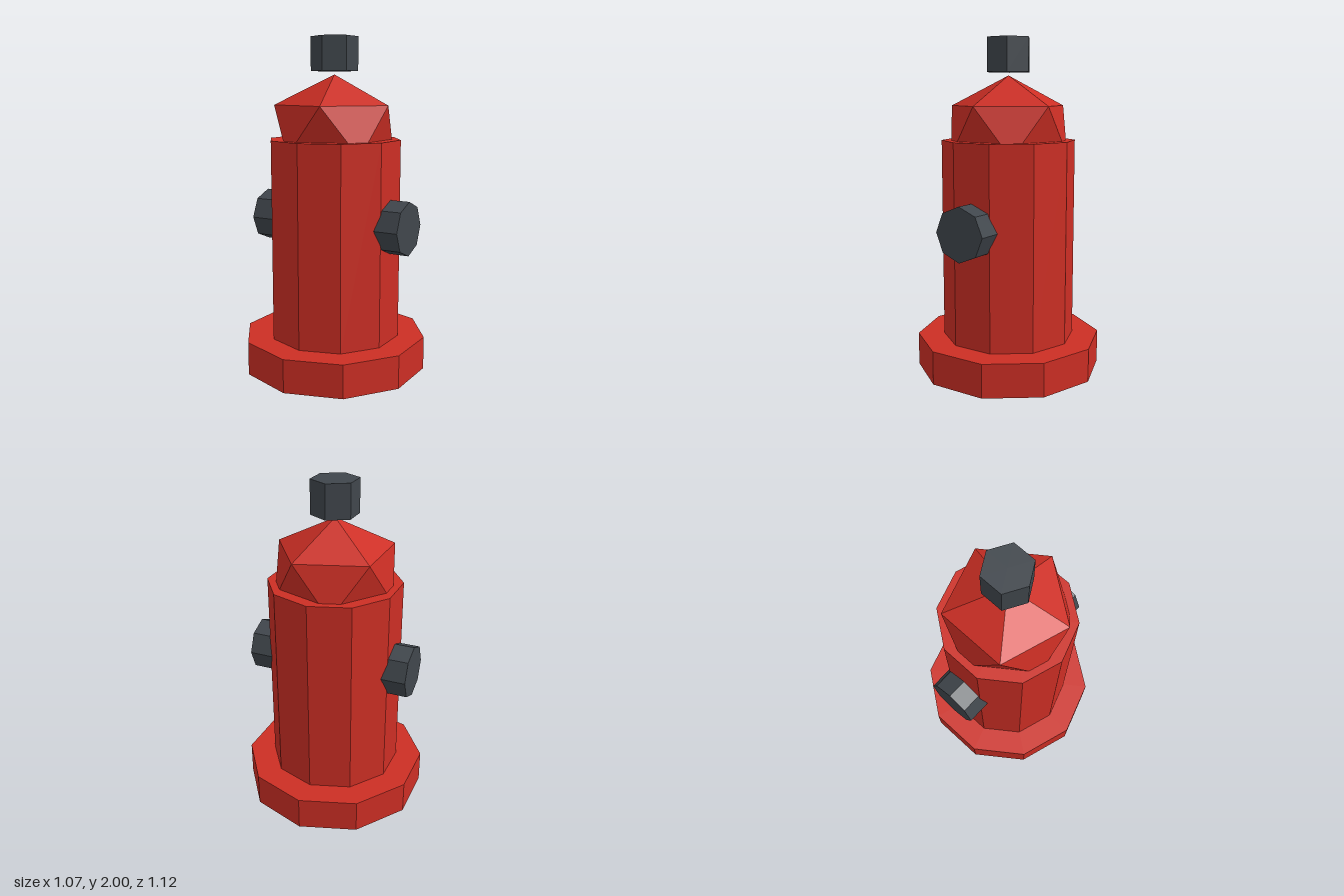
import * as THREE from 'three';

export function createModel() {
  const model = new THREE.Group();
  model.name = 'fireHydrant';

  const red = new THREE.MeshStandardMaterial({ color: 0xcc2e24, flatShading: true });
  red.name = 'red paint';
  const iron = new THREE.MeshStandardMaterial({ color: 0x40464c, flatShading: true });
  iron.name = 'dark iron';

  const add = (name, geometry, material) => {
    const mesh = new THREE.Mesh(geometry, material);
    mesh.name = name;
    model.add(mesh);
    return mesh;
  };

  // Upright prism between two heights
  const prism = (name, radius, bottom, top, sides, material) => {
    const mesh = add(name, new THREE.CylinderGeometry(radius, radius, top - bottom, sides), material);
    mesh.position.y = (bottom + top) / 2;
  };

  prism('base', 0.56, 0, 0.2, 10, red);
  prism('barrel', 0.4, 0.2, 1.4, 10, red);
  prism('topNut', 0.14, 1.8, 2, 6, iron);

  // Bonnet: squashed icosahedron with one corner pointing up
  add('bonnet', bonnetGeometry(0.4), red).position.y = 1.46;
  model.getObjectByName('bonnet').scale.y = 0.8;

  // Octagonal outlet cap on each side, sunk into the barrel
  for (const side of [1, -1]) {
    const cap = add(side > 0 ? 'leftOutletCap' : 'rightOutletCap',
      new THREE.CylinderGeometry(0.16, 0.16, 0.25, 8), iron);
    cap.rotation.z = -side * Math.PI / 2;
    cap.position.set(side * 0.375, 0.9, 0);
  }
  return model;
}

// Two staggered rings of five corners, closed by an upper and a lower tip
function bonnetGeometry(radius) {
  const h = radius / Math.sqrt(5);
  const ring = (i, y, offset) => {
    const a = (i + offset) * Math.PI * 2 / 5;
    return [2 * h * Math.cos(a), y, -2 * h * Math.sin(a)];
  };
  const points = [];
  for (let i = 0; i < 5; i++) {
    const a = ring(i, h, 0), b = ring(i + 1, h, 0);
    const c = ring(i, -h, 0.5), d = ring(i + 1, -h, 0.5);
    points.push([0, radius, 0], a, b, a, c, b, b, c, d, c, [0, -radius, 0], d);
  }
  const geometry = new THREE.BufferGeometry();
  geometry.setAttribute('position', new THREE.Float32BufferAttribute(points.flat(), 3));
  geometry.computeVertexNormals();
  return geometry;
}
